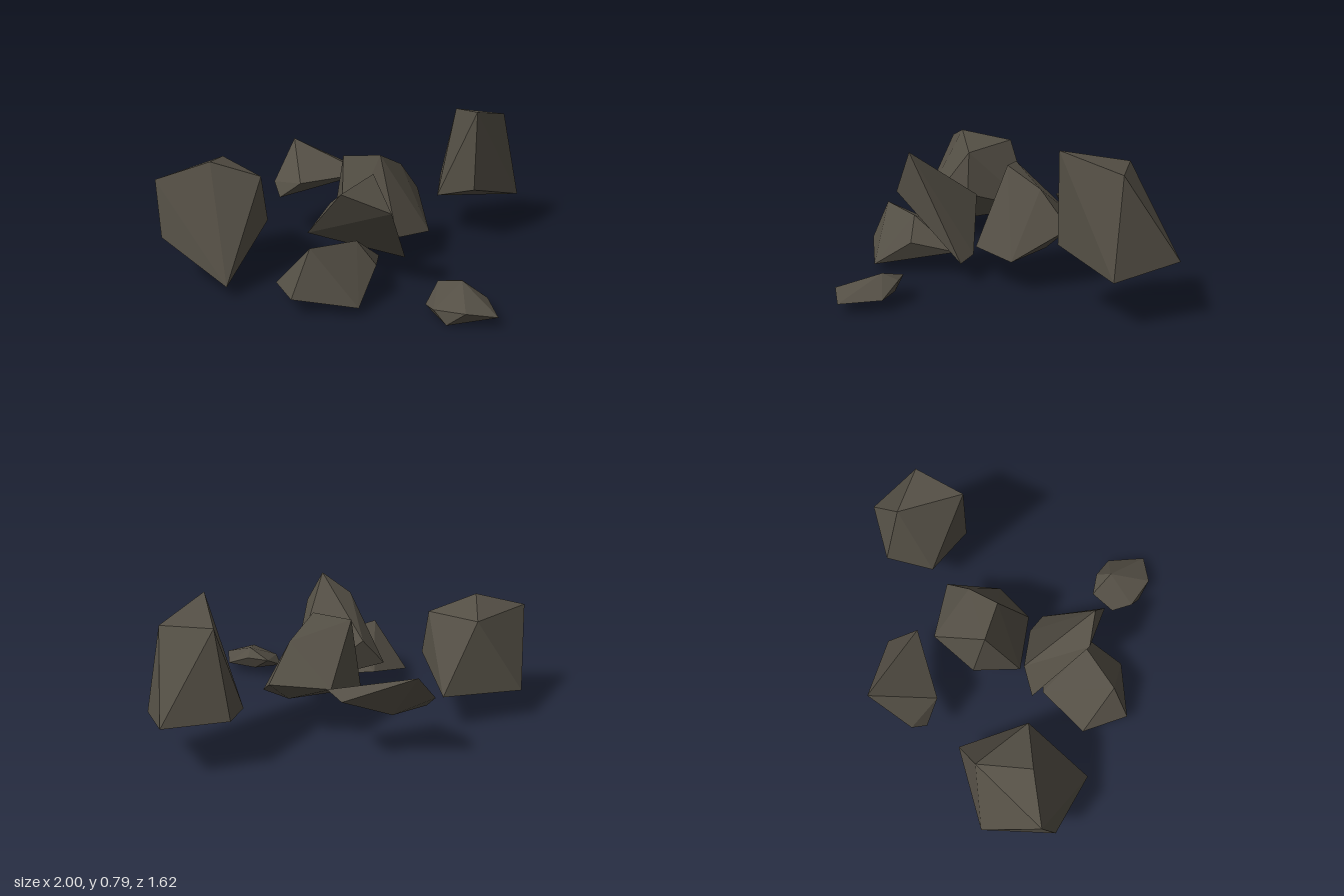
import * as THREE from 'three';
import { ConvexGeometry } from 'three/addons/geometries/ConvexGeometry.js';

// Each rock is a faceted hull around a few corner points [x, y, z]
const rocks = {
  tallRock: [
    [0.71, 0.785, -0.26], [0.71, 0.33, -0.26], [0.9, 0.705, -0.53], [0.63, 0.715, -0.61],
    [0.88, 0.29, -0.81], [0.56, 0.28, -0.71], [0.995, 0.23, -0.48], [0.52, 0.23, -0.45],
  ],
  largeRock: [
    [-1, 0.55, 0.2], [-0.72, 0.63, 0.15], [-0.46, 0.54, 0.12], [-0.69, 0.57, -0.14],
    [-0.43, 0.3, 0.13], [-0.62, 0.06, 0.46], [-0.97, 0.26, 0.28],
    [-0.95, 0.165, -0.11], [-0.51, 0.19, -0.25],
  ],
  backRock: [
    [-0.44, 0.3, -0.5], [-0.33, 0.5, -0.72], [0.03, 0.35, -0.655], [0.1, 0.35, -0.5],
    [-0.28, 0.33, -0.37], [-0.405, 0.225, -0.425], [-0.22, 0.255, -0.6],
  ],
  middleRock: [
    [0.17, 0.6, -0.06], [-0.03, 0.58, -0.12], [0.29, 0.5, -0.22], [0.395, 0.315, -0.355],
    [0.08, 0.31, -0.41], [0.445, 0.16, -0.06], [0.26, 0.19, 0.11], [-0.04, 0.15, 0.07],
    [-0.08, 0.22, -0.19], [0.3, 0.19, -0.25],
  ],
  leaningRock: [
    [0.12, 0.665, 0.45], [-0.04, 0.55, 0.43], [0.21, 0.48, 0.515], [0.3, 0.11, 0.19],
    [-0.1, 0.38, 0.09], [0.2, 0.13, 0.12], [-0.22, 0.23, 0.14],
  ],
  frontRock: [
    [-0.19, 0.325, 0.58], [0.04, 0.305, 0.43], [-0.28, 0.095, 0.675], [0.05, 0.037, 0.65],
    [0.14, 0.18, 0.45], [0.16, 0.13, 0.21], [-0.17, 0.15, 0.2], [-0.37, 0.075, 0.43],
  ],
  smallRock: [
    [0.555, 0.085, 0.81], [0.56, 0.155, 0.58], [0.57, 0.12, 0.5], [0.45, 0.11, 0.48],
    [0.38, 0.035, 0.6], [0.41, 0.06, 0.71], [0.47, 0, 0.76], [0.715, 0.055, 0.785],
    [0.69, 0.06, 0.575], [0.53, 0.05, 0.52],
  ],
};

export function createModel() {
  const group = new THREE.Group();
  group.name = 'rockCluster';
  const stone = new THREE.MeshStandardMaterial({ color: 0x544f45 });
  stone.name = 'darkStone';

  for (const [name, corners] of Object.entries(rocks)) {
    const points = corners.map((c) => new THREE.Vector3(...c));
    const rock = new THREE.Mesh(new ConvexGeometry(points), stone);
    rock.name = name;
    group.add(rock);
  }
  return group;
}
